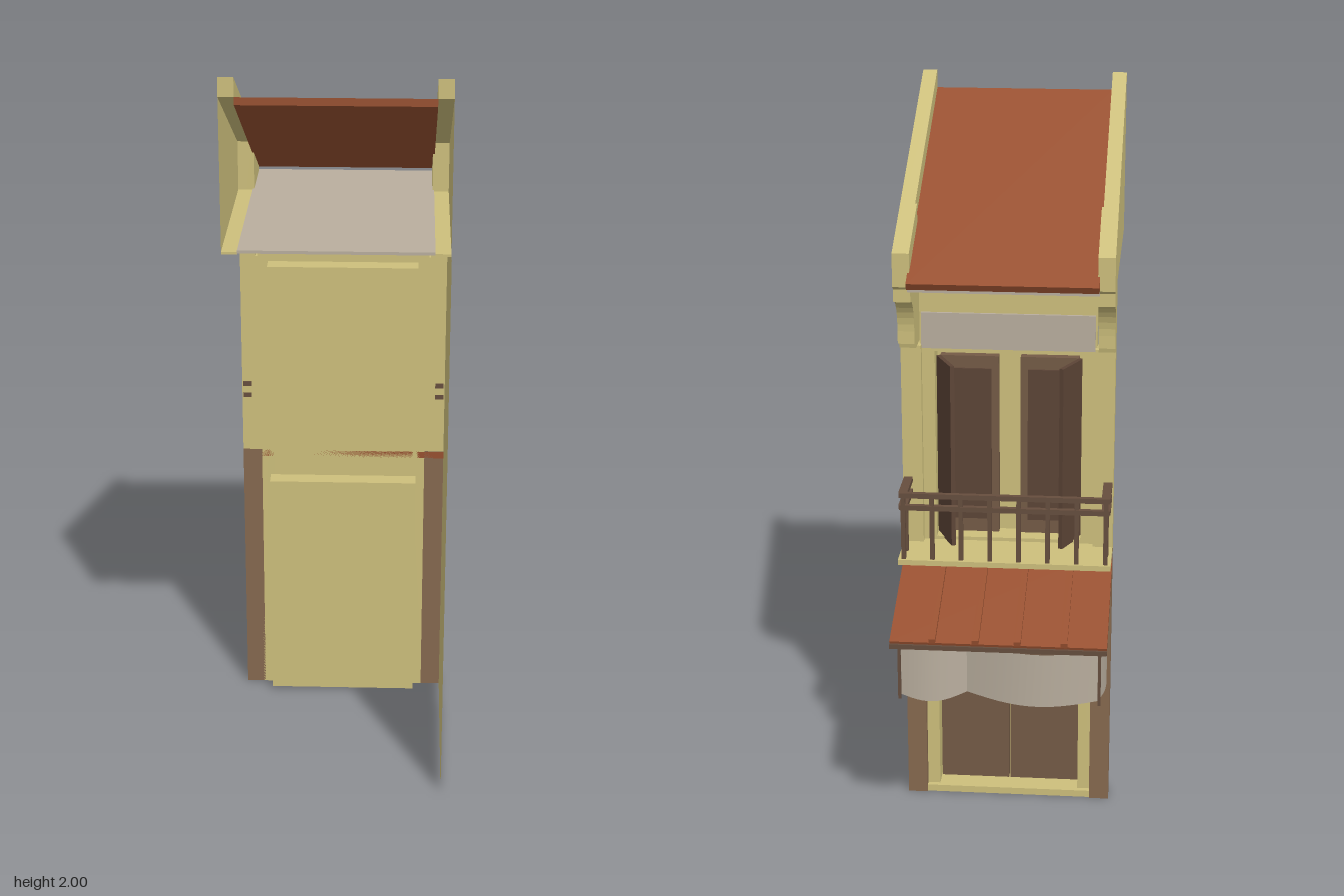
import * as THREE from 'three';

const mat = (name, color, double) => {
  const m = new THREE.MeshStandardMaterial({ color });
  m.name = name;
  if (double) m.side = THREE.DoubleSide;
  return m;
};

export function createModel() {
  const model = new THREE.Group();
  const plaster = mat('yellow plaster', 0xcdbf7c, true);
  const tile = mat('terracotta', 0x985030, true);
  const plinth = mat('brown stone', 0x86694f);
  const door = mat('door brown', 0x745b46);
  const rail = mat('rail brown', 0x664e3e);
  const shutterMat = mat('shutter dark brown', 0x5c4436);
  const grey = mat('warm grey', 0xb9ae9e, true);

  const add = (name, geo, m, parent = model) => {
    const mesh = new THREE.Mesh(geo, m);
    mesh.name = name;
    parent.add(mesh);
    return mesh;
  };
  // box given by its limits on each axis
  const box = (name, m, x0, x1, y0, y1, z0, z1, parent) => {
    const g = new THREE.BoxGeometry(x1 - x0, y1 - y0, z1 - z0);
    g.translate((x0 + x1) / 2, (y0 + y1) / 2, (z0 + z1) / 2);
    return add(name, g, m, parent);
  };
  const toShape = pts => new THREE.Shape(pts.map(p => new THREE.Vector2(p[0], p[1])));
  // (z, y) profile extruded along x
  const profile = (name, m, pts, x0, x1) => {
    const g = new THREE.ExtrudeGeometry(toShape(pts), { depth: x1 - x0, bevelEnabled: false });
    g.rotateY(-Math.PI / 2).translate(x1, 0, 0);
    return add(name, g, m);
  };
  // flat (z, y) sheet at one x
  const sheet = (name, m, pts, x) => {
    const g = new THREE.ShapeGeometry(toShape(pts));
    g.rotateY(-Math.PI / 2).translate(x, 0, 0);
    return add(name, g, m);
  };

  // side walls: complete on +x, attic only on -x
  sheet('sideWall', plaster, [[-0.1, 0], [0.485, 0], [0.485, 1.55], [0.44, 1.55], [0.44, 2], [-0.1, 1.74]], 0.29);
  sheet('atticWall', plaster, [[-0.1, 1.55], [0.44, 1.55], [0.44, 2], [-0.1, 1.74]], -0.29);

  // curved eave bracket
  const bracket = [[-0.1, 1.36], [-0.17, 1.36], [-0.175, 1.38], [-0.2, 1.38]];
  for (let i = 0; i <= 8; i++) {
    const a = (i / 8) * Math.PI / 2;
    bracket.push([-0.27 + 0.07 * Math.cos(a), 1.415 + 0.1 * Math.sin(a)]);
  }
  bracket.push([-0.27, 1.55], [-0.285, 1.56], [-0.285, 1.65], [-0.1, 1.739]);

  for (const s of [-1, 1]) {
    const span = (a, b) => (s > 0 ? [a, b] : [-b, -a]);
    box('pillarBase', plinth, ...span(0.235, 0.29), 0, 0.77, -0.15, -0.1);
    box('pillar', plaster, ...span(0.235, 0.29), 0.77, 1.36, -0.15, -0.1);
    profile('eaveBracket', plaster, bracket, ...span(0.245, 0.29));
    profile('coping', plaster, [[0.44, 2], [0.44, 1.95], [-0.285, 1.6], [-0.285, 1.65]], ...span(0.25, 0.29));
    box('atticFloorEdge', plaster, ...span(0.25, 0.29), 1.545, 1.552, -0.1, 0.44);
  }

  // main roof and the ceiling below it
  profile('roof', tile, [[0.44, 1.95], [-0.325, 1.58], [-0.315, 1.562], [-0.285, 1.565], [0.44, 1.93]], -0.25, 0.25);
  box('ceiling', grey, -0.25, 0.25, 1.548, 1.556, -0.29, 0.44);

  // facade with door and window openings
  const wall = toShape([[-0.24, 0], [0.24, 0], [0.24, 1.55], [-0.24, 1.55]]);
  for (const [y0, y1] of [[0.02, 0.68], [0.8, 1.34]]) {
    const h = new THREE.Path();
    h.moveTo(-0.2, y0).lineTo(-0.2, y1).lineTo(0.2, y1).lineTo(0.2, y0).closePath();
    wall.holes.push(h);
  }
  const wallGeo = new THREE.ExtrudeGeometry(wall, { depth: 0.03, bevelEnabled: false });
  add('facade', wallGeo.translate(0, 0, -0.13), plaster);

  // recess boxes behind the openings
  for (const [y0, y1] of [[0.01, 0.69], [0.79, 1.345]]) {
    box('recessBack', plaster, -0.21, 0.21, y0, y1, -0.06, -0.05);
    box('recessTop', plaster, -0.21, 0.21, y1 - 0.01, y1, -0.1, -0.05);
    box('recessBottom', plaster, -0.21, 0.21, y0, y0 + 0.01, -0.1, -0.05);
    for (const x of [-0.205, 0.205]) box('recessSide', plaster, x - 0.005, x + 0.005, y0, y1, -0.1, -0.05);
  }
  box('threshold', plaster, -0.235, 0.235, 0, 0.02, -0.145, -0.1);

  // entrance doors with vents, upper shutters with one folded leaf each side
  for (const s of [-1, 1]) {
    box('doorLeaf', door, s * 0.1 - 0.098, s * 0.1 + 0.098, 0.022, 0.68, -0.085, -0.06);
    for (let i = -1; i <= 1; i++) {
      const x = s * 0.1 + i * 0.045;
      box('doorVent', shutterMat, x - 0.015, x + 0.015, 0.5, 0.6, -0.09, -0.084);
    }
    box('shutter', door, s * 0.11 - 0.08, s * 0.11 + 0.08, 0.8, 1.315, -0.085, -0.06);
    box('shutterPanel', shutterMat, s * 0.11 - 0.06, s * 0.11 + 0.06, 0.84, 1.28, -0.09, -0.084);
    const leaf = box('openShutter', shutterMat, -0.006, 0.006, 0.795, 1.315, -0.11, 0);
    leaf.position.set(s * 0.195, 0, -0.085);
    leaf.rotation.y = s * 0.45;
  }
  box('transom', grey, -0.235, 0.235, 1.35, 1.45, -0.138, -0.13);

  // balcony
  box('balconySlab', plaster, -0.29, 0.29, 0.775, 0.79, -0.285, -0.1);
  for (const y of [0.94, 0.975]) {
    box('frontRail', rail, -0.285, 0.285, y - 0.007, y + 0.007, -0.278, -0.264);
    for (const x of [-0.275, 0.275]) box('sideRail', rail, x - 0.012, x + 0.012, y - 0.007, y + 0.007, -0.27, -0.098);
  }
  for (let i = 0; i < 8; i++) {
    const x = -0.275 + i * 0.55 / 7;
    box('baluster', rail, x - 0.006, x + 0.006, 0.79, 0.975, -0.277, -0.265);
  }
  for (const x of [-0.275, 0.275]) box('sideBaluster', rail, x - 0.006, x + 0.006, 0.79, 0.975, -0.221, -0.209);

  // awning with raised seams
  profile('awning', tile, [[-0.1, 0.768], [-0.48, 0.637], [-0.473, 0.617], [-0.1, 0.748]], -0.29, 0.29);
  for (const x of [-0.176, -0.052, 0.06, 0.176]) {
    profile('awningSeam', tile, [[-0.11, 0.776], [-0.482, 0.648], [-0.48, 0.635], [-0.11, 0.762]], x - 0.009, x + 0.009);
  }
  box('awningEdge', rail, -0.29, 0.29, 0.617, 0.63, -0.484, -0.477);
  for (const x of [-0.27, 0.27]) {
    box('awningArm', plinth, x - 0.01, x + 0.01, 0.613, 0.635, -0.46, -0.15);
    box('curtainRod', rail, x - 0.004, x + 0.004, 0.45, 0.615, -0.444, -0.436);
  }
  box('awningBar', plinth, -0.28, 0.28, 0.613, 0.63, -0.46, -0.445);

  // cloth panels bulging between their ends
  const drape = (ax, az, bx, bz, ox, oz) => {
    const g = new THREE.PlaneGeometry(1, 1, 12, 1), p = g.attributes.position;
    for (let i = 0; i < p.count; i++) {
      const t = p.getX(i) + 0.5, k = Math.sin(Math.PI * t);
      const y = p.getY(i) > 0 ? 0.612 - 0.012 * k : 0.462 - 0.016 * k;
      p.setXYZ(i, ax + (bx - ax) * t + ox * k, y, az + (bz - az) * t + oz * k);
    }
    g.computeVertexNormals();
    add('curtain', g, grey);
  };
  drape(0.265, -0.155, 0.265, -0.44, 0.02, 0);
  drape(-0.265, -0.155, -0.265, -0.44, -0.02, 0);
  drape(0.265, -0.44, 0.09, -0.41, 0, -0.02);
  drape(0.09, -0.41, -0.265, -0.44, 0, -0.03);

  return model;
}
